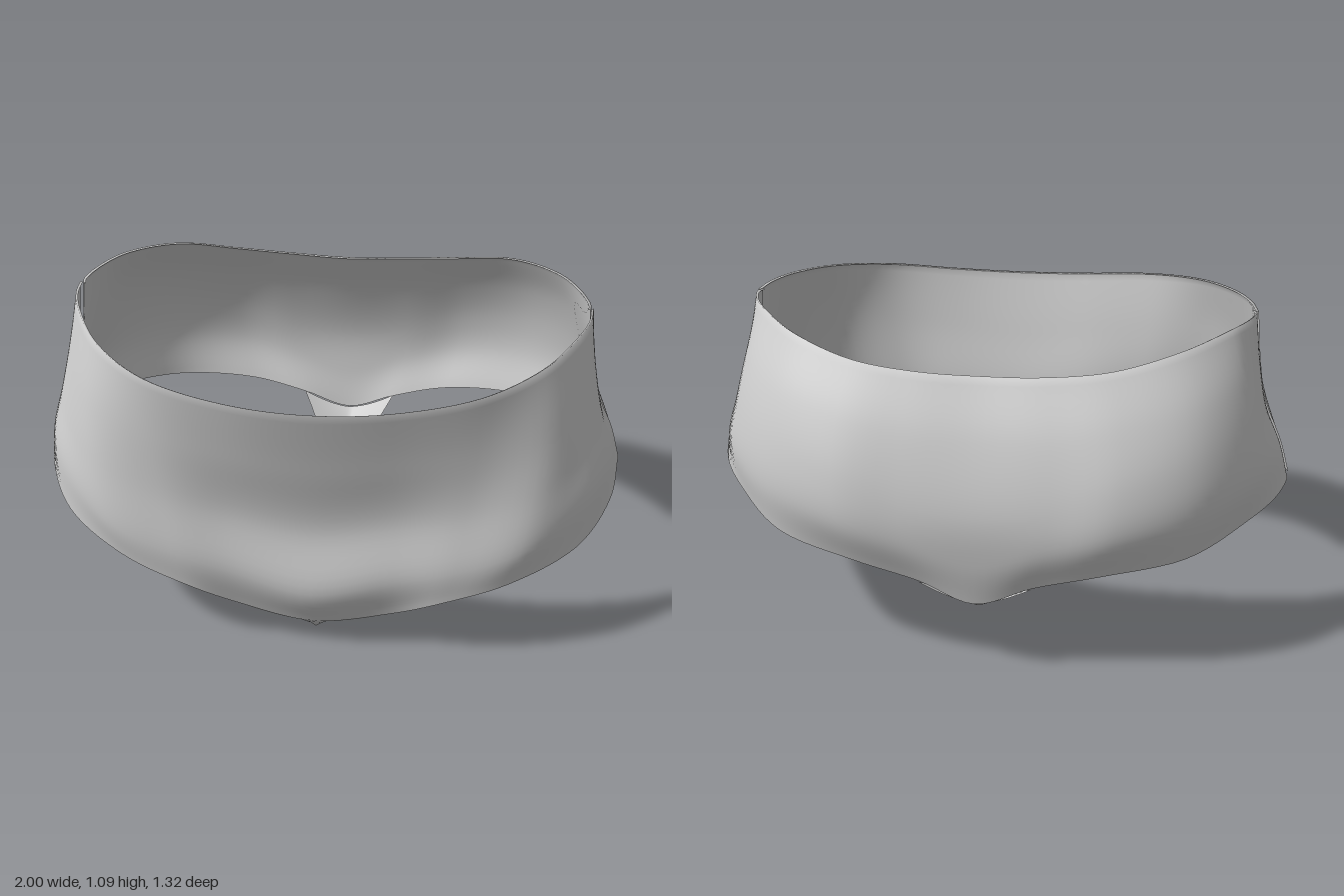
import * as THREE from 'three';

const material = new THREE.MeshStandardMaterial({ color: 0xcccccc, side: THREE.DoubleSide });
const V = (x, y, z) => new THREE.Vector3(x, y, z);

// Skin a grid of points (rows of equal length) with smooth normals
function gridMesh(name, rows) {
  const n = rows[0].length, index = [];
  for (let i = 0; i < rows.length - 1; i++) {
    for (let j = 0; j < n - 1; j++) {
      const a = i * n + j, b = a + n;
      index.push(a, b, b + 1, a, b + 1, a + 1);
    }
  }
  const geometry = new THREE.BufferGeometry().setFromPoints(rows.flat());
  geometry.setIndex(index);
  geometry.computeVertexNormals();
  const mesh = new THREE.Mesh(geometry, material);
  mesh.name = name;
  return mesh;
}

// Hem: the waist row turned slightly inwards
const hem = (row) => row.map((p) => {
  const k = 1 - 0.007 / Math.hypot(p.x, p.z);
  return V(p.x * k, p.y - 0.004, p.z * k);
});

// Curved panel from half its columns (centre to side, each top to bottom), mirrored in x
function panel(name, half, front) {
  const columns = half.map((c) => c.map((p) => V(...p)));
  const mirrored = columns.slice(1).reverse().map((c) => c.map((p) => V(-p.x, p.y, p.z)));
  let all = [...mirrored, ...columns];
  if (!front) all = all.reverse();
  const curves = all.map((c) => new THREE.CatmullRomCurve3(c));
  const rows = [];
  for (let i = 0; i <= 28; i++) {
    const across = new THREE.CatmullRomCurve3(curves.map((c) => c.getPoint(i / 28)));
    // the side seams sit a little skewed
    rows.push(across.getPoints(84).map((p) => V(p.x, p.y, p.z + 0.02 * p.x ** 3)));
  }
  return gridMesh(name, [hem(rows[0]), ...rows]);
}

// Narrow strip between the legs: stations of [z, half width, edge height, centre height, fold power]
function gusset(stations) {
  const steps = 12;
  const rows = stations.map(([z, w, edge, mid, power]) => {
    const row = [];
    for (let j = -steps; j <= steps; j++) {
      const t = j / steps;
      row.push(V(t * w, mid + (edge - mid) * Math.abs(t) ** power, z));
    }
    return row;
  });
  return gridMesh('gusset', rows);
}

export function createModel() {
  const group = new THREE.Group();
  group.name = 'briefs';

  group.add(panel('frontPanel', [
    [[0, 0.988, 0.662], [0, 0.75, 0.6], [0, 0.5, 0.548], [0, 0.27, 0.588], [0, 0.11, 0.525]],
    [[0.25, 0.998, 0.642], [0.25, 0.78, 0.592], [0.26, 0.55, 0.547], [0.26, 0.33, 0.572], [0.25, 0.165, 0.527]],
    [[0.5, 1.027, 0.572], [0.5, 0.82, 0.555], [0.48, 0.6, 0.55], [0.455, 0.39, 0.575], [0.42, 0.255, 0.562]],
    [[0.68, 1.056, 0.425], [0.705, 0.87, 0.465], [0.705, 0.68, 0.505], [0.68, 0.48, 0.54], [0.63, 0.335, 0.535]],
    [[0.79, 1.075, 0.24], [0.825, 0.9, 0.285], [0.85, 0.75, 0.33], [0.865, 0.6, 0.38], [0.84, 0.415, 0.415]],
    [[0.835, 1.077, 0.12], [0.865, 0.91, 0.15], [0.897, 0.77, 0.18], [0.94, 0.62, 0.2], [0.955, 0.48, 0.22]],
    [[0.85, 1.075, 0.022], [0.872, 0.9, 0.018], [0.9, 0.765, 0.01], [0.962, 0.63, 0], [0.998, 0.515, 0]],
  ], true));

  // the last column tucks behind the front panel at the side seam
  group.add(panel('backPanel', [
    [[0, 0.995, -0.485], [0, 0.82, -0.583], [0, 0.6, -0.655], [0, 0.43, -0.652], [0, 0.28, -0.625]],
    [[0.2, 1.002, -0.488], [0.22, 0.83, -0.585], [0.23, 0.63, -0.65], [0.22, 0.49, -0.657], [0.18, 0.345, -0.615]],
    [[0.4, 1.022, -0.465], [0.43, 0.87, -0.56], [0.44, 0.7, -0.63], [0.43, 0.55, -0.65], [0.39, 0.4, -0.608]],
    [[0.6, 1.065, -0.38], [0.65, 0.91, -0.465], [0.67, 0.75, -0.525], [0.67, 0.6, -0.55], [0.65, 0.442, -0.53]],
    [[0.75, 1.088, -0.22], [0.795, 0.94, -0.285], [0.825, 0.78, -0.34], [0.845, 0.63, -0.36], [0.84, 0.487, -0.34]],
    [[0.815, 1.085, -0.1], [0.85, 0.92, -0.13], [0.885, 0.78, -0.16], [0.93, 0.64, -0.17], [0.945, 0.507, -0.18]],
    [[0.843, 1.077, 0], [0.868, 0.9, -0.005], [0.897, 0.765, -0.015], [0.957, 0.63, -0.03], [0.99, 0.515, -0.045]],
    [[0.836, 1.075, 0.032], [0.858, 0.9, 0.028], [0.888, 0.765, 0.016], [0.95, 0.63, -0.008], [0.988, 0.515, -0.037]],
  ], false));

  group.add(gusset([
    [0.526, 0.25, 0.165, 0.11, 1.6],
    [0.475, 0.205, 0.14, 0.046, 0.8],
    [0.31, 0.085, 0.09, 0.002, 0.5],
    [0.15, 0.038, 0.09, 0.035, 0.5],
    [0, 0.012, 0.1, 0.068, 0.5],
    [-0.17, 0.017, 0.135, 0.105, 0.5],
    [-0.33, 0.026, 0.185, 0.145, 0.5],
    [-0.46, 0.095, 0.24, 0.177, 0.8],
    [-0.56, 0.145, 0.3, 0.235, 1.2],
    [-0.62, 0.18, 0.345, 0.28, 1.6],
  ]));

  return group;
}
